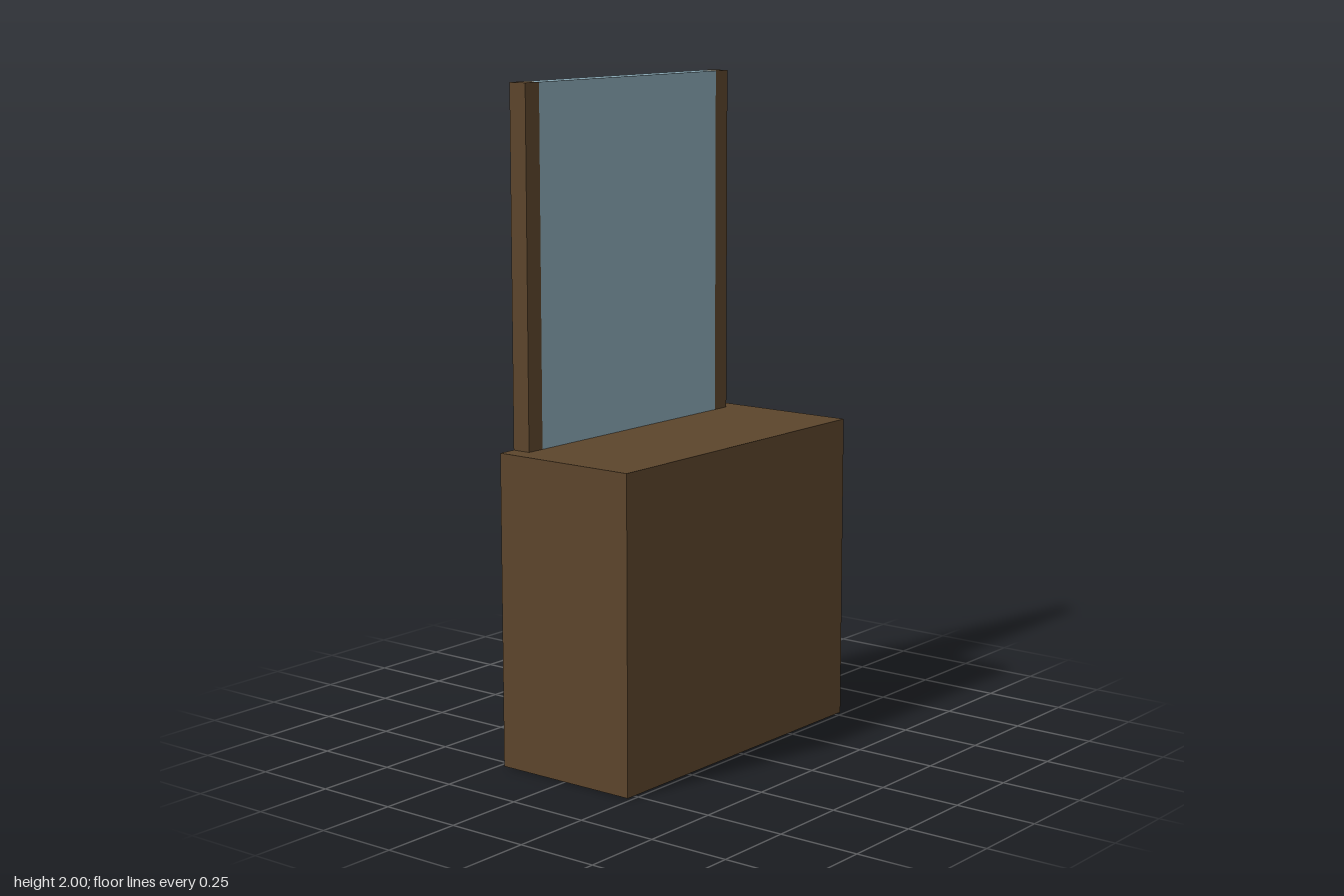
import * as THREE from 'three';

export function createModel() {
  const model = new THREE.Group();
  model.name = 'dresserWithMirror';

  const wood = new THREE.MeshStandardMaterial({ color: 0x5c452c });
  wood.name = 'dark wood';
  const glass = new THREE.MeshStandardMaterial({ color: 0x8aa8b4 });
  glass.name = 'mirror glass';

  // Box placed by its centre in x and z, and by its underside in y
  function addBox(name, material, [w, h, d], [x, y, z]) {
    const mesh = new THREE.Mesh(new THREE.BoxGeometry(w, h, d), material);
    mesh.name = name;
    mesh.position.set(x, y + h / 2, z);
    model.add(mesh);
  }

  const baseWidth = 1.058, baseHeight = 0.941, baseDepth = 0.47;
  const post = 0.059;
  const mirrorWidth = 0.824, mirrorHeight = 2 - baseHeight;
  const mirrorZ = -baseDepth / 2 + post / 2; // flush with the back

  // Cabinet
  addBox('cabinet', wood, [baseWidth, baseHeight, baseDepth], [0, 0, 0]);

  // Mirror panel between two upright posts
  addBox('mirror', glass, [mirrorWidth, mirrorHeight, post], [0, baseHeight, mirrorZ]);
  for (const [name, side] of [['leftPost', 1], ['rightPost', -1]]) {
    const x = side * (mirrorWidth + post) / 2;
    addBox(name, wood, [post, mirrorHeight, post], [x, baseHeight, mirrorZ]);
  }

  return model;
}
